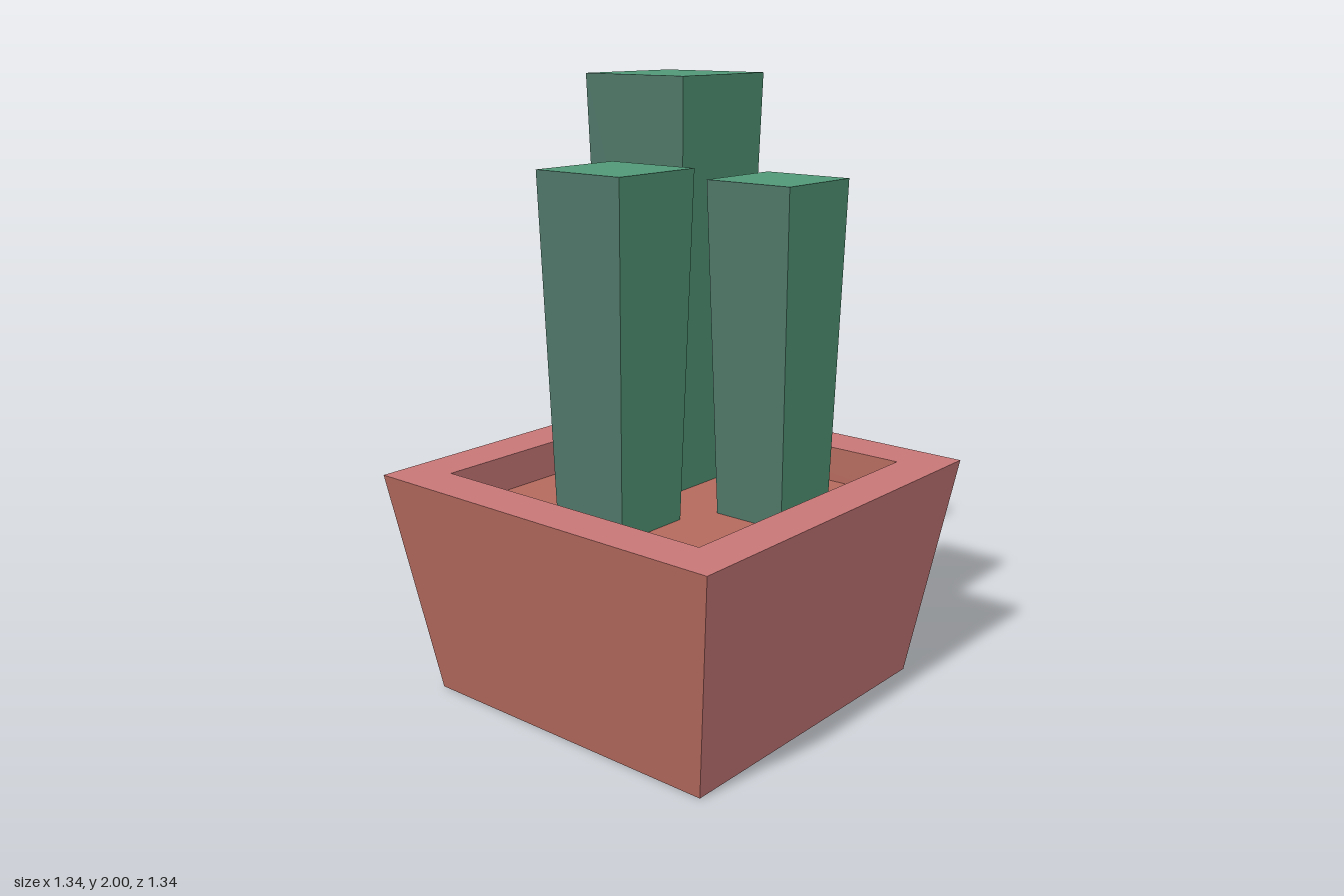
import * as THREE from 'three';

const mat = (name, color) => {
  const m = new THREE.MeshStandardMaterial({ color });
  m.name = name;
  return m;
};

// Four-sided solid lofted through [halfWidth, y] rings; walls facing x get the second material.
function squareLoft(name, rings, materials) {
  const points = rings.map(([half, y]) => new THREE.Vector2(half * Math.SQRT2, y));
  const lathe = new THREE.LatheGeometry(points, 4, Math.PI / 4);
  const bands = rings.length - 1;
  for (let side = 0; side < 4; side++) {
    for (let band = 0; band < bands; band++) {
      const isWall = rings[band][1] !== rings[band + 1][1];
      lathe.addGroup((side * bands + band) * 6, 6, isWall && side % 2 === 0 ? 1 : 0);
    }
  }
  const geometry = lathe.toNonIndexed();
  geometry.computeVertexNormals(); // flat faces
  const mesh = new THREE.Mesh(geometry, materials);
  mesh.name = name;
  return mesh;
}

export function createModel() {
  const pink = mat('pink clay', 0xc97777);
  const brown = mat('brown clay', 0xb56a5e);
  const green = mat('cactus green', 0x529878);
  const greyGreen = mat('grey green', 0x4f7768);

  const model = new THREE.Group();
  model.name = 'pottedCactus';
  const soilY = 0.63;

  // Pot: base, flared outer walls, flat rim, straight inner walls
  model.add(squareLoft('pot',
    [[0, 0], [0.555, 0], [0.67, 0.75], [0.518, 0.75], [0.518, soilY]],
    [pink, brown]));

  // Soil
  const soil = new THREE.Mesh(new THREE.PlaneGeometry(1.036, 1.036).rotateX(-Math.PI / 2), brown);
  soil.name = 'soil';
  soil.position.y = soilY;
  model.add(soil);

  // Cactus columns, slightly wider at the top: x, z, base half, top half, height
  const columns = [
    ['tallColumn', 0.267, -0.232, 0.169, 0.2075, 2],
    ['middleColumn', -0.258, -0.021, 0.137, 0.167, 1.74],
    ['shortColumn', 0.13, 0.295, 0.127, 0.155, 1.7],
  ];
  for (const [name, x, z, base, top, height] of columns) {
    const column = squareLoft(name, [[base, soilY], [top, height], [0, height]], [green, greyGreen]);
    column.position.set(x, 0, z);
    model.add(column);
  }
  return model;
}
